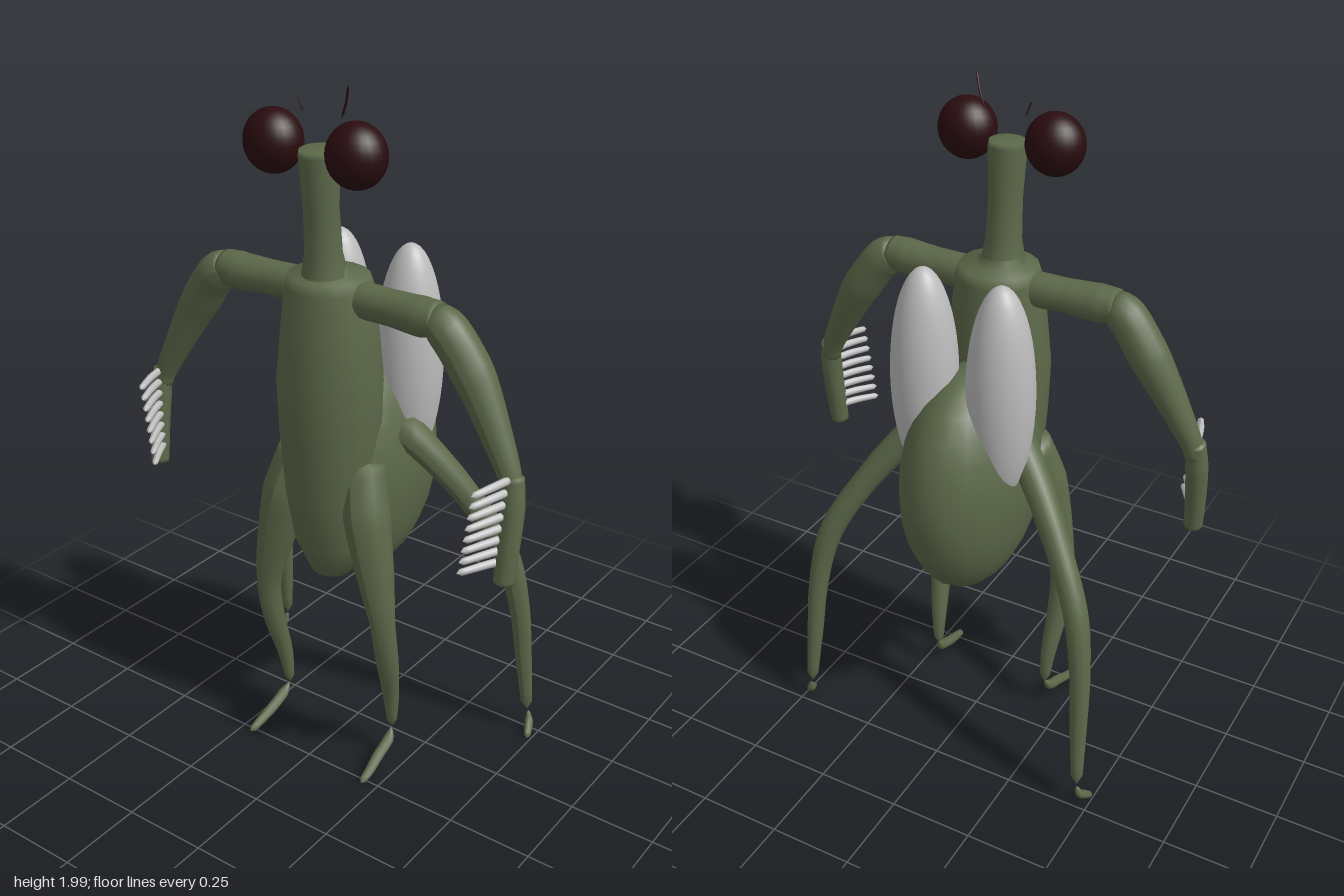
import * as THREE from 'three';

const flat = (name, color) => {
  const m = new THREE.MeshStandardMaterial({ color });
  m.name = name;
  return m;
};

export function createModel() {
  const model = new THREE.Group();
  const olive = flat('olive green', 0x5c6849);
  const pale = flat('pale grey', 0xbcbcbc);
  const maroon = flat('dark maroon', 0x2a0c0f);

  const add = (parent, name, geometry, material, x = 0, y = 0, z = 0) => {
    const mesh = new THREE.Mesh(geometry, material);
    mesh.name = name;
    mesh.position.set(x, y, z);
    parent.add(mesh);
    return mesh;
  };
  const ellipsoid = (rx, ry, rz, w, h) => new THREE.SphereGeometry(1, w, h).scale(rx, ry, rz);

  // Tapering limb through points [x, y, z, radius], closed at both ends
  const limb = (points, s = 1, sides = 12, n = 32) => {
    const curve = new THREE.CatmullRomCurve3(
      points.map(p => new THREE.Vector3(p[0] * s, p[1], p[2])), false, 'centripetal');
    const geo = new THREE.TubeGeometry(curve, n, 1, sides);
    const pos = geo.attributes.position, v = new THREE.Vector3();
    for (let i = 0; i <= n; i++) {
      const t = curve.getUtoTmapping(i / n) * (points.length - 1);
      const k = Math.min(Math.floor(t), points.length - 2);
      const r = i % n === 0 ? 0 : THREE.MathUtils.lerp(points[k][3], points[k + 1][3], t - k);
      const c = curve.getPointAt(i / n);
      for (let j = 0; j <= sides; j++) {
        const q = i * (sides + 1) + j;
        v.fromBufferAttribute(pos, q).sub(c).multiplyScalar(r).add(c);
        pos.setXYZ(q, v.x, v.y, v.z);
      }
    }
    geo.computeVertexNormals();
    return geo;
  };

  // Body: upright thorax, round abdomen behind it, neck on top
  const thorax = [[0, 0.58], [0.06, 0.6], [0.105, 0.7], [0.13, 0.85], [0.145, 1.05], [0.15, 1.2],
    [0.135, 1.35], [0.122, 1.46], [0.112, 1.49], [0.065, 1.495], [0.055, 1.52]];
  add(model, 'thorax', new THREE.LatheGeometry(
    thorax.map(p => new THREE.Vector2(...p)), 16).scale(1, 1, 0.95), olive, 0, 0, 0.13);
  add(model, 'abdomen', ellipsoid(0.18, 0.355, 0.275, 20, 14), olive, 0, 0.895, -0.025);
  const neck = [[0.062, 0], [0.05, 0.06], [0.047, 0.18], [0.053, 0.32], [0.05, 0.335], [0, 0.335]];
  const neckMesh = add(model, 'neck', new THREE.LatheGeometry(
    neck.map(p => new THREE.Vector2(...p)), 20), olive, 0, 1.495, 0.15);
  neckMesh.rotation.x = 0.06;

  for (const s of [1, -1]) {
    const side = new THREE.Group();
    side.name = s > 0 ? 'leftSide' : 'rightSide';
    model.add(side);

    add(side, 'eye', ellipsoid(0.082, 0.085, 0.075, 24, 16), maroon, s * 0.13, 1.835, 0.187);
    add(side, 'wing', ellipsoid(0.096, 0.325, 0.093, 32, 24), pale, s * 0.118, 1.215, -0.078);

    // Thin feelers, the left one longer
    const feeler = s > 0
      ? [[0.058, 1.91, 0.15, 0.003], [0.075, 1.95, 0.155, 0.003], [0.095, 2, 0.172, 0.003]]
      : [[0.062, 1.91, 0.15, 0.002], [0.068, 1.93, 0.153, 0.002], [0.075, 1.95, 0.157, 0.002]];
    add(side, 'feeler', limb(feeler, s, 6, 8), maroon);

    // Raised grasping arm
    add(side, 'upperArm', limb([[0.05, 1.44, 0.13, 0.05], [0.2, 1.44, 0.135, 0.048],
      [0.3, 1.44, 0.14, 0.053], [0.36, 1.445, 0.14, 0.045]], s, 16), olive);
    add(side, 'forearm', limb([[0.32, 1.45, 0.14, 0.04], [0.37, 1.425, 0.14, 0.056],
      [0.45, 1.32, 0.135, 0.057], [0.53, 1.18, 0.145, 0.042], [0.585, 1.07, 0.155, 0.03],
      [0.6, 1.02, 0.16, 0.028]], s, 16), olive);
    add(side, 'hand', limb([[0.592, 1.09, 0.155, 0.028], [0.6, 1.0, 0.165, 0.032],
      [0.6, 0.88, 0.18, 0.03], [0.597, 0.78, 0.19, 0.027]], s, 12), olive);
    for (let i = 0; i < 8; i++) {
      const y = 1.08 - i * 0.033, tip = 0.562 - i * 0.005;
      add(side, 'spine', limb([[0.592, y, 0.17, 0.011], [(0.592 + tip) / 2, y - 0.002, 0.23, 0.011],
        [tip - 0.008, y - 0.008, 0.295, 0.009]], s, 8, 12), pale);
    }

    // Front leg with a long forward foot
    add(side, 'frontLeg', limb([[0.1, 0.98, 0.12, 0.06], [0.14, 0.82, 0.155, 0.068],
      [0.175, 0.66, 0.165, 0.055], [0.205, 0.5, 0.168, 0.036], [0.207, 0.36, 0.145, 0.033],
      [0.197, 0.22, 0.11, 0.024], [0.192, 0.1, 0.095, 0.013]], s), olive);
    add(side, 'frontFoot', limb([[0.193, 0.1, 0.1, 0.004], [0.198, 0.072, 0.12, 0.016],
      [0.2, 0.045, 0.18, 0.016], [0.205, 0.025, 0.23, 0.014], [0.207, 0.012, 0.275, 0.01]], s, 10, 16), olive);

    // Rear leg spread out and back
    add(side, 'rearLeg', limb([[0.12, 1.05, 0.0, 0.055], [0.2, 0.97, -0.04, 0.045],
      [0.31, 0.82, -0.105, 0.037], [0.405, 0.64, -0.165, 0.036], [0.44, 0.46, -0.195, 0.03],
      [0.452, 0.28, -0.215, 0.025], [0.464, 0.08, -0.235, 0.016]], s), olive);
    add(side, 'rearFoot', limb([[0.466, 0.075, -0.238, 0.004], [0.474, 0.045, -0.232, 0.013],
      [0.482, 0.03, -0.215, 0.013], [0.493, 0.012, -0.19, 0.009]], s, 10, 12), olive);
  }
  return model;
}
